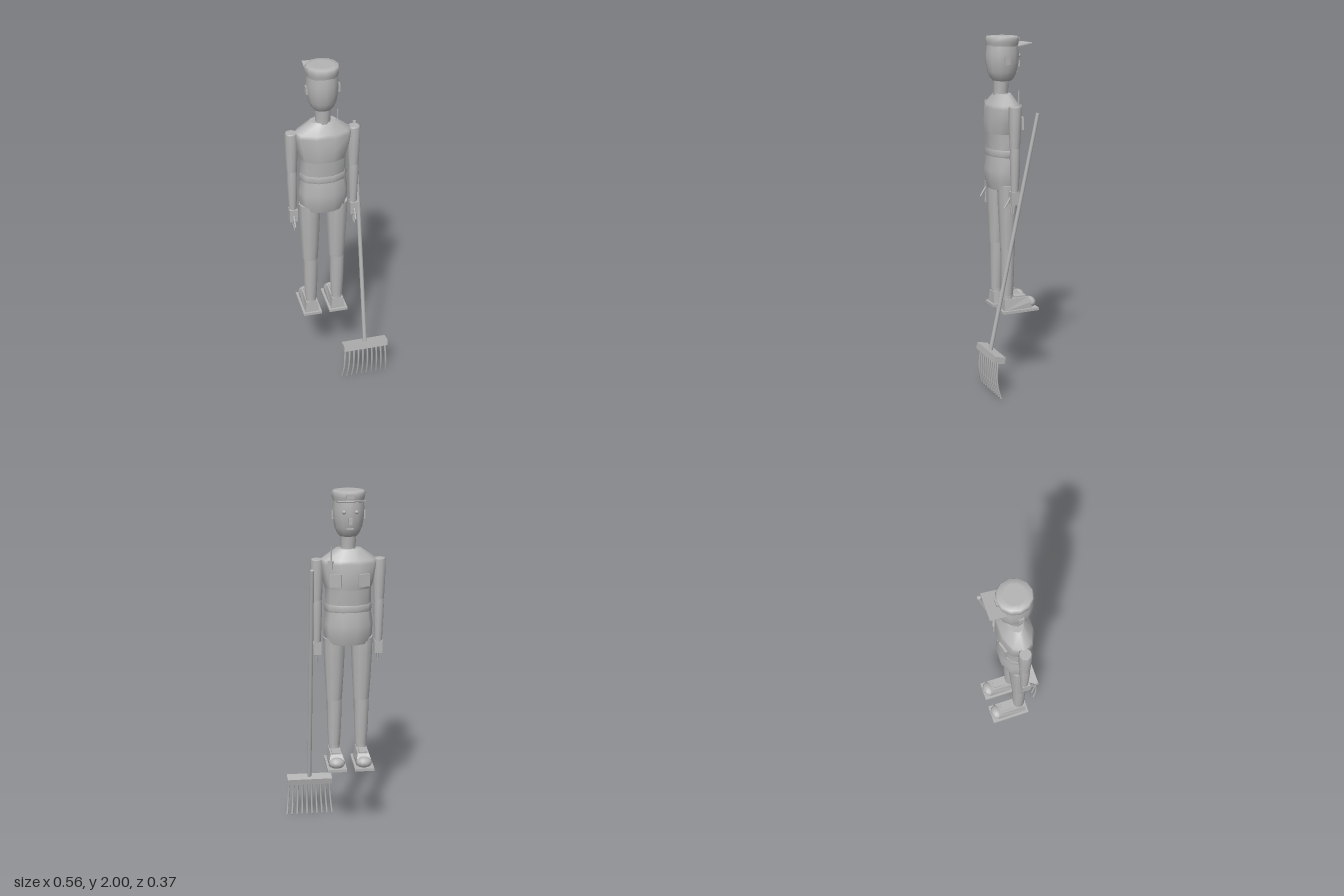
import * as THREE from 'three';

const grey = new THREE.MeshStandardMaterial({ color: 0xb4b4b4 });
grey.name = 'plain grey';

// Smooth closed body through elliptical rings [y, rx, rz, cx, cz], listed upwards
function loftGeometry(rings, sides) {
  const pos = [], index = [];
  const addRing = ([y, rx, rz = rx, cx = 0, cz = 0]) => {
    const start = pos.length / 3;
    for (let j = 0; j < sides; j++) {
      const a = (j / sides) * Math.PI * 2;
      pos.push(cx + Math.cos(a) * rx, y, cz + Math.sin(a) * rz);
    }
    return start;
  };
  const starts = rings.map(addRing);
  for (let i = 0; i < rings.length - 1; i++) {
    for (let j = 0; j < sides; j++) {
      const k = (j + 1) % sides, a = starts[i], b = starts[i + 1];
      index.push(a + j, b + j, a + k, a + k, b + j, b + k);
    }
  }
  // End caps with their own vertices keep the rims sharp
  [rings[0], rings[rings.length - 1]].forEach((ring, end) => {
    const s = addRing(ring), c = pos.length / 3;
    pos.push(ring[3] || 0, ring[0], ring[4] || 0);
    for (let j = 0; j < sides; j++) {
      const k = (j + 1) % sides;
      if (end) index.push(c, s + k, s + j);
      else index.push(c, s + j, s + k);
    }
  });
  const g = new THREE.BufferGeometry();
  g.setAttribute('position', new THREE.Float32BufferAttribute(pos, 3));
  g.setIndex(index);
  g.computeVertexNormals();
  return g;
}

function add(parent, name, geometry, x = 0, y = 0, z = 0, rx = 0, ry = 0, rz = 0) {
  const mesh = new THREE.Mesh(geometry, grey);
  mesh.name = name;
  mesh.position.set(x, y, z);
  mesh.rotation.set(rx, ry, rz);
  parent.add(mesh);
  return mesh;
}

const box = (w, h, d) => new THREE.BoxGeometry(w, h, d);
const loft = (parent, name, rings, sides = 10, x = 0, z = 0) =>
  add(parent, name, loftGeometry(rings, sides), x, 0, z);

function makeHead() {
  const head = new THREE.Group();
  head.name = 'head';
  loft(head, 'neck', [[1.66, 0.043], [1.7, 0.042], [1.77, 0.047]], 10, 0, 0.008);
  loft(head, 'skull', [[1.75, 0.05, 0.052], [1.768, 0.064, 0.07], [1.8, 0.077, 0.084],
    [1.85, 0.086, 0.094], [1.9, 0.088, 0.096], [1.95, 0.083, 0.09]], 12);
  loft(head, 'cap', [[1.943, 0.086, 0.089], [1.965, 0.091, 0.094], [1.985, 0.093, 0.095],
    [1.997, 0.086, 0.088], [2, 0.06, 0.06]], 12);
  add(head, 'capBrim', box(0.15, 0.006, 0.085), 0, 1.951, -0.108, 0.2);
  add(head, 'capBadge', box(0.04, 0.026, 0.008), 0, 1.975, -0.094);
  for (const s of [-1, 1]) {
    add(head, 'ear', box(0.012, 0.045, 0.03), s * 0.087, 1.865, 0.005);
    add(head, 'eye', new THREE.SphereGeometry(0.011, 8, 6), s * 0.034, 1.89, -0.088);
  }
  add(head, 'nose', box(0.018, 0.035, 0.022), 0, 1.843, -0.097);
  add(head, 'mouth', box(0.04, 0.009, 0.008), 0, 1.8, -0.083);
  head.position.set(-0.073, 0, -0.01);
  return head;
}

function makeTorso() {
  const torso = new THREE.Group();
  torso.name = 'torso';
  loft(torso, 'chest', [[1.46, 0.131, 0.094], [1.52, 0.15, 0.1], [1.6, 0.168, 0.092],
    [1.62, 0.158, 0.085], [1.68, 0.075, 0.046]]);
  loft(torso, 'waist', [[1.36, 0.129, 0.085], [1.46, 0.13, 0.092]]);
  loft(torso, 'belt', [[1.328, 0.13, 0.086], [1.338, 0.134, 0.09], [1.36, 0.134, 0.09], [1.37, 0.13, 0.087]]);
  loft(torso, 'hips', [[1.14, 0.126, 0.08], [1.19, 0.137, 0.094], [1.25, 0.14, 0.098], [1.33, 0.129, 0.087]]);
  // Chest pockets and a pen
  for (const s of [-1, 1]) add(torso, 'pocket', box(0.066, 0.07, 0.012), s * 0.078, 1.515, -0.088, 0, s * -0.25);
  add(torso, 'penClip', box(0.03, 0.045, 0.012), 0.105, 1.6, -0.066, 0, -0.45);
  add(torso, 'pen', new THREE.CylinderGeometry(0.004, 0.004, 0.1, 6), 0.1, 1.65, -0.058);
  torso.position.set(-0.073, 0, -0.01);
  return torso;
}

function makeArm(x, name) {
  const arm = new THREE.Group();
  arm.name = name;
  loft(arm, 'upperArm', [[1.39, 0.029], [1.5, 0.034], [1.615, 0.036], [1.622, 0.03]]);
  loft(arm, 'forearm', [[1.145, 0.021], [1.25, 0.026], [1.34, 0.029], [1.395, 0.027]]);
  add(arm, 'hand', box(0.046, 0.075, 0.045), 0, 1.11, 0.005);
  for (let i = 0; i < 3; i++) {
    add(arm, 'finger', new THREE.CylinderGeometry(0.006, 0.005, 0.06, 6), 0, 1.05, 0.005 + i * 0.012, -0.12);
  }
  add(arm, 'thumb', new THREE.CylinderGeometry(0.0065, 0.006, 0.065, 6), 0, 1.085, 0.045, -0.55);
  arm.position.set(x, 0, -0.01);
  return arm;
}

function makeLeg(x, name) {
  const leg = new THREE.Group();
  leg.name = name;
  loft(leg, 'thigh', [[0.8, 0.045, 0.041], [0.95, 0.054, 0.049], [1.08, 0.06, 0.056], [1.17, 0.062, 0.058]]);
  loft(leg, 'shin', [[0.52, 0.034, 0.034], [0.65, 0.041, 0.038], [0.805, 0.044, 0.041]]);
  loft(leg, 'ankle', [[0.46, 0.031], [0.525, 0.031]]);
  // Shoe: side outline extruded across the foot
  const side = new THREE.Shape([[-0.035, 0.43], [0.142, 0.43], [0.142, 0.47], [0.115, 0.5], [-0.03, 0.5]]
    .map(p => new THREE.Vector2(...p)));
  const upper = new THREE.ExtrudeGeometry(side, { depth: 0.084, bevelEnabled: false });
  upper.translate(0, 0, -0.042);
  upper.rotateY(Math.PI / 2);
  const p = upper.attributes.position;
  for (let i = 0; i < p.count; i++) if (p.getY(i) > 0.48) p.setX(i, p.getX(i) * 0.78);
  upper.computeVertexNormals();
  add(leg, 'shoeUpper', upper);
  add(leg, 'shoeTongue', box(0.045, 0.01, 0.07), 0, 0.503, -0.075);
  add(leg, 'toeCap', new THREE.SphereGeometry(1, 10, 8), 0, 0.458, -0.141).scale.set(0.047, 0.032, 0.036);
  add(leg, 'sole', box(0.111, 0.016, 0.225), 0, 0.424, -0.065);
  leg.position.set(x, 0, -0.008);
  return leg;
}

function makeRake() {
  const rake = new THREE.Group();
  rake.name = 'rake';
  const low = new THREE.Vector3(0, 0.235, 0.158), high = new THREE.Vector3(0, 1.585, -0.133);
  const span = high.clone().sub(low);
  const tilt = Math.atan2(span.z, span.y);
  const mid = low.clone().add(high).multiplyScalar(0.5);
  add(rake, 'handle', new THREE.CylinderGeometry(0.0115, 0.0125, span.length(), 8), mid.x, mid.y, mid.z, tilt);
  add(rake, 'rakeHead', box(0.269, 0.038, 0.062), 0, 0.23, 0.155, tilt);
  // Curved tines fan out towards the tips
  const count = 10;
  for (let i = 0; i < count; i++) {
    const t = (i / (count - 1)) * 2 - 1;
    const path = new THREE.CatmullRomCurve3([[0.122, 0.22, 0.163], [0.127, 0.14, 0.172],
      [0.131, 0.07, 0.168], [0.138, 0.004, 0.152]].map(([x, y, z]) => new THREE.Vector3(x * t, y, z)));
    add(rake, 'tine', new THREE.TubeGeometry(path, 8, 0.006, 6, false));
    add(rake, 'tineTip', new THREE.ConeGeometry(0.006, 0.004, 6), 0.138 * t, 0.002, 0.152, Math.PI);
  }
  rake.position.x = 0.138;
  return rake;
}

export function createModel() {
  const model = new THREE.Group();
  model.name = 'groundskeeper';
  model.add(makeHead(), makeTorso(),
    makeArm(-0.247, 'rightArm'), makeArm(0.102, 'leftArm'),
    makeLeg(-0.152, 'rightLeg'), makeLeg(0.005, 'leftLeg'), makeRake());
  return model;
}
